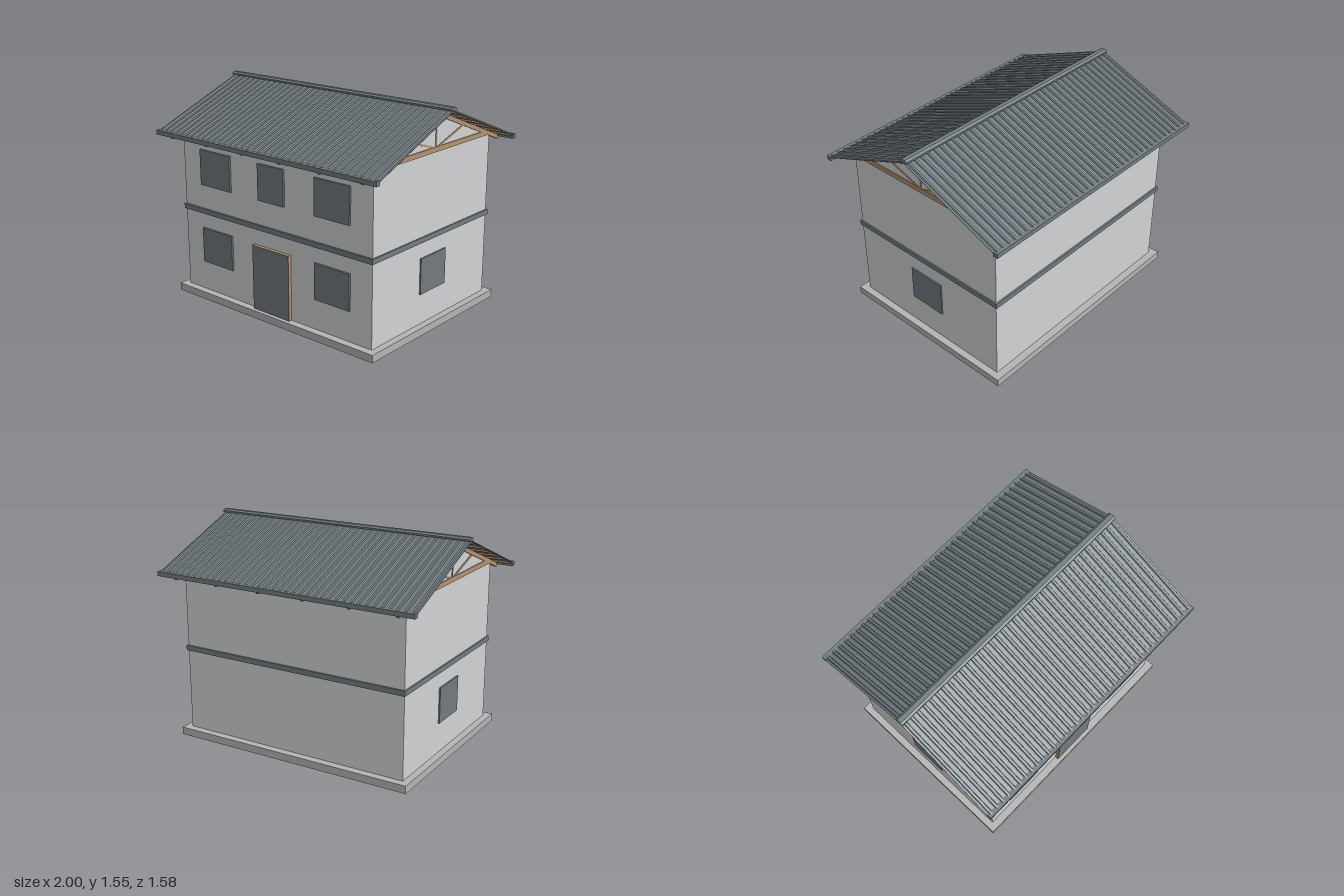
import * as THREE from 'three';

const mat = (name, color) => {
  const m = new THREE.MeshStandardMaterial({ color });
  m.name = name;
  return m;
};

export function createModel() {
  const house = new THREE.Group();
  house.name = 'house';
  const wall = mat('wall plaster', 0xd2d3d4);
  const concrete = mat('concrete', 0xb4b4b4);
  const metal = mat('roof metal', 0x737d82);
  const glass = mat('window grey', 0x717b80);
  const wood = mat('timber', 0xb3926e);

  const add = (parent, name, geometry, material) => {
    const m = new THREE.Mesh(geometry, material);
    m.name = name;
    parent.add(m);
    return m;
  };
  // Box given by its minimum and maximum on each axis
  const box = (parent, name, material, x0, x1, y0, y1, z0, z1) => {
    const m = add(parent, name, new THREE.BoxGeometry(x1 - x0, y1 - y0, z1 - z0), material);
    m.position.set((x0 + x1) / 2, (y0 + y1) / 2, (z0 + z1) / 2);
    return m;
  };
  // Prism of a [z, y] outline, with its thickness along x
  const sidePrism = (parent, name, material, points, thickness) => {
    const shape = new THREE.Shape(points.map(([z, y]) => new THREE.Vector2(-z, y)));
    const g = new THREE.ExtrudeGeometry(shape, { depth: thickness, bevelEnabled: false });
    g.translate(0, 0, -thickness / 2).rotateY(Math.PI / 2);
    return add(parent, name, g, material);
  };

  // Foundation, walls and the band between storeys
  box(house, 'foundation', concrete, -0.92, 0.92, 0, 0.055, -0.705, 0.705);
  box(house, 'walls', wall, -0.87, 0.87, 0.055, 1.24, -0.65, 0.65);
  box(house, 'floorBand', metal, -0.88, 0.88, 0.645, 0.682, -0.663, 0.663);

  // Windows
  for (const x of [-0.54, 0.54]) {
    box(house, 'lowerWindow', glass, x - 0.15, x + 0.15, 0.275, 0.535, 0.65, 0.664);
    box(house, 'upperWindow', glass, x - 0.15, x + 0.15, 0.86, 1.12, 0.65, 0.664);
  }
  box(house, 'middleWindow', glass, -0.12, 0.12, 0.86, 1.12, 0.65, 0.664);
  for (const s of [-1, 1]) {
    const w = box(house, 'sideWindow', glass, -0.006, 0.006, 0.275, 0.533, -0.142, 0.142);
    w.position.x = s * 0.874;
  }

  // Door with a timber body and a grey face
  box(house, 'door', wood, -0.17, 0.17, 0.055, 0.53, 0.65, 0.673);
  box(house, 'doorFace', glass, -0.17, 0.17, 0.055, 0.53, 0.673, 0.676);

  // Roof trusses
  const slope = 0.394;
  const rafterTop = (z) => 1.514 - slope * z;
  for (let i = 0; i < 6; i++) {
    const truss = new THREE.Group();
    truss.name = 'truss';
    truss.position.x = -0.867 + i * 0.3468;
    house.add(truss);
    sidePrism(truss, 'bottomChord', wood,
      [[-0.63, 1.238], [0.63, 1.238], [0.54, 1.273], [-0.54, 1.273]], 0.02);
    box(truss, 'kingPost', wood, -0.007, 0.007, 1.27, 1.49, -0.007, 0.007);
    for (const s of [-1, 1]) {
      const points = [[0, rafterTop(0)], [0.768, rafterTop(0.768)],
        [0.756, rafterTop(0.756) - 0.032], [0, rafterTop(0) - 0.032]];
      sidePrism(truss, 'rafter', wood, points.map(([z, y]) => [s * z, y]), 0.02);
      const brace = [[0.01, 1.272], [0.05, 1.272], [0.33, 1.362], [0.305, 1.37]];
      sidePrism(truss, 'brace', wood, brace.map(([z, y]) => [s * z, y]), 0.014);
    }
  }

  // Gable panels between the end truss members
  for (const s of [-1, 1]) {
    const gable = sidePrism(house, 'gablePanel', wall,
      [[-0.62, 1.24], [0.62, 1.24], [0, 1.49]], 0.008);
    gable.position.x = s * 0.866;
  }

  // Ribbed sheet profile, extruded down the slope
  const ribs = 37, pitch = 2 / ribs, length = 0.825;
  const profile = new THREE.Shape();
  profile.moveTo(-1, 0);
  profile.lineTo(1, 0);
  profile.lineTo(1, 0.004);
  for (let i = ribs - 1; i >= 0; i--) {
    const c = -1 + (i + 0.5) * pitch;
    profile.lineTo(c + 0.013, 0.004);
    profile.lineTo(c + 0.008, 0.014);
    profile.lineTo(c - 0.008, 0.014);
    profile.lineTo(c - 0.013, 0.004);
  }
  profile.lineTo(-1, 0.004);
  const sheet = new THREE.ExtrudeGeometry(profile, { depth: length, bevelEnabled: false });

  for (const turn of [0, Math.PI]) {
    const half = new THREE.Group();
    half.name = 'roofHalf';
    half.rotation.y = turn;
    house.add(half);
    const plane = new THREE.Group();
    plane.name = 'roofSlope';
    plane.position.y = 1.526;
    plane.rotation.x = Math.atan(slope);
    half.add(plane);
    add(plane, 'roofSheet', sheet, metal);
    // Purlins under the sheet
    for (let i = 0; i < 6; i++) {
      const z = 0.05 + i * 0.148;
      box(plane, 'purlin', wood, -0.985, 0.985, -0.011, 0, z - 0.01, z + 0.01);
    }
    box(half, 'gutter', metal, -1, 1, 1.204, 1.236, 0.755, 0.79);
  }

  // Ridge cap
  sidePrism(house, 'ridgeCap', metal, [[-0.03, 1.531], [0.03, 1.531], [0.03, 1.543],
    [0.015, 1.554], [-0.015, 1.554], [-0.03, 1.543]], 2);

  // Make mirrored prisms face outward
  return house;
}
